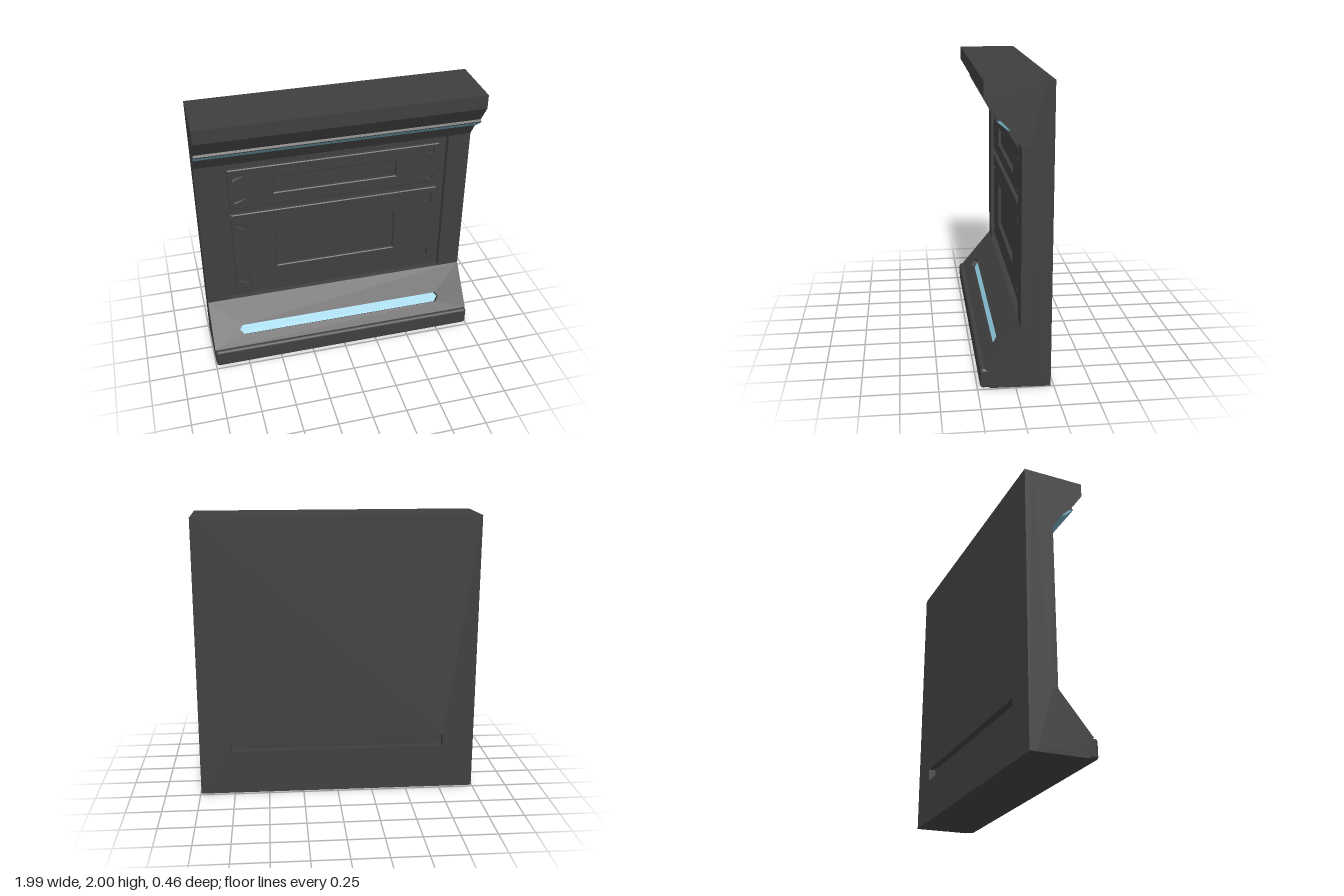
import * as THREE from 'three';
import { RoundedBoxGeometry } from 'three/addons/geometries/RoundedBoxGeometry.js';

const W = 1.99;
const dark = new THREE.MeshStandardMaterial({ color: 0x403f3f });
const glow = new THREE.MeshStandardMaterial({ color: 0x8cc8dc });
const teal = new THREE.MeshStandardMaterial({ color: 0x6ea6b8 });

const outline = (pts, Type = THREE.Shape) => new Type(pts.map(([x, y]) => new THREE.Vector2(x, y)));
const rect = (x0, y0, x1, y1) => [[x0, y0], [x1, y0], [x1, y1], [x0, y1]];

function add(parent, name, geometry, material = dark) {
  const mesh = new THREE.Mesh(geometry, material);
  mesh.name = name;
  parent.add(mesh);
  return mesh;
}

// Side profile of [z, y] points swept across the full width
function sweep(profile) {
  const g = new THREE.ExtrudeGeometry(outline(profile), { depth: W, bevelEnabled: false });
  return g.rotateY(-Math.PI / 2).translate(W / 2, 0, 0);
}

// Flat plate from z0 to z1 with cut-outs and an optional bevelled rim
function plate(pts, holes, z0, z1, bevel = 0) {
  const s = outline(pts);
  s.holes = holes.map((h) => outline(h, THREE.Path));
  const g = new THREE.ExtrudeGeometry(s, {
    depth: z1 - z0 - bevel, bevelEnabled: bevel > 0, bevelThickness: bevel,
    bevelSize: bevel, bevelOffset: -bevel, bevelSegments: 1,
  });
  return g.translate(0, 0, z0);
}

// Triangle with its tip at x + dir * w
const arrow = (x, y, w, h, dir) => [[x, y - h], [x + dir * w, y], [x, y + h]];

export function createModel() {
  const group = new THREE.Group();
  group.name = 'wallPanel';

  // Core block: cornice on top, recessed middle, sloped base
  add(group, 'core', sweep([
    [-0.18, 0], [0.17, 0.005], [0.17, 0.115], [0.2, 0.14], [0.169, 0.115], [-0.061, 0.395],
    [-0.03, 0.42], [-0.07, 0.42], [-0.07, 1.59], [-0.03, 1.59], [0.04, 1.7],
    [0.115, 1.775], [0.2, 1.9], [0.2, 2], [-0.18, 2],
  ]));

  // Back plate with a long groove
  add(group, 'backPlate', plate(rect(-W / 2, 0, W / 2, 2),
    [rect(-0.77, 0.32, 0.77, 0.41)], -0.23, -0.18));

  // Rounded foot rail
  add(group, 'footRail', new RoundedBoxGeometry(W, 0.135, 0.1, 2, 0.02)).position.set(0, 0.0725, 0.182);

  // Flat side strips framing the recess
  for (const side of [-1, 1]) {
    add(group, 'sideStrip', new THREE.BoxGeometry(W / 2 - 0.83, 1.17, 0.04))
      .position.set(side * (W / 2 + 0.83) / 2, 1.005, -0.05);
  }

  // Cornice light, standing slightly proud of the slope
  add(group, 'corniceLight', sweep([[0.105, 1.765], [0.124, 1.757], [0.058, 1.702], [0.04, 1.7]]), teal);
  add(group, 'corniceTrim', sweep([[0.117, 1.778], [0.129, 1.765], [0.124, 1.757], [0.1, 1.76]]));

  // Sloped base face with a pointed light slot
  const slope = new THREE.Group();
  slope.name = 'baseSlope';
  slope.position.set(0, 0.14, 0.2);
  slope.rotation.x = -Math.atan2(0.23, 0.28);
  const slot = [[-0.79, 0.125], [-0.76, 0.084], [0.76, 0.084], [0.79, 0.125], [0.765, 0.155], [-0.765, 0.155]];
  add(slope, 'slopePlate', plate(rect(-W / 2, 0, W / 2, 0.362), [slot], -0.04, 0));
  add(slope, 'baseLight', plate(slot, [], -0.042, -0.037), glow);
  group.add(slope);

  // Two raised panels with a window and four corner triangles each
  add(group, 'upperPanel', plate(rect(-0.77, 1.21, 0.77, 1.53), [
    rect(-0.45, 1.305, 0.45, 1.435),
    arrow(-0.735, 1.473, 0.07, 0.026, 1), arrow(-0.735, 1.285, 0.07, 0.026, 1),
    arrow(0.735, 1.473, 0.065, 0.026, -1), arrow(0.735, 1.253, 0.065, 0.026, -1),
  ], -0.07, -0.045, 0.006));
  add(group, 'lowerPanel', plate(rect(-0.77, 0.49, 0.77, 1.16), [
    rect(-0.45, 0.66, 0.45, 0.99),
    arrow(-0.665, 1.063, 0.07, 0.042, -1), arrow(-0.665, 0.565, 0.07, 0.042, -1),
    arrow(0.735, 1.063, 0.065, 0.042, -1), arrow(0.735, 0.565, 0.065, 0.042, -1),
  ], -0.07, -0.045, 0.006));

  return group;
}
